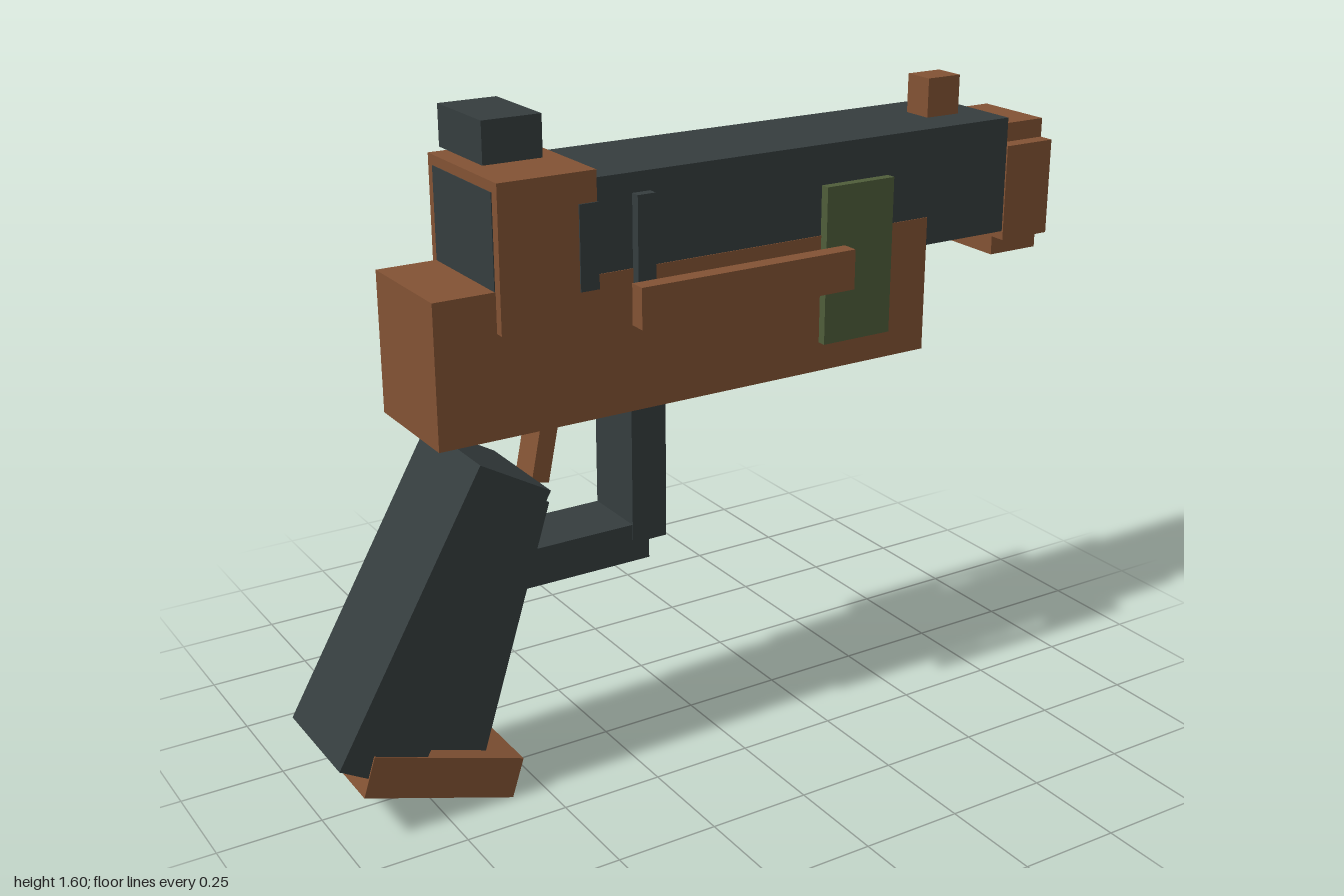
import * as THREE from 'three';

const flat = (name, color) => {
  const m = new THREE.MeshStandardMaterial({ color });
  m.name = name;
  return m;
};

export function createModel() {
  const model = new THREE.Group();
  model.name = 'blockyPistol';

  const steel = flat('darkSteel', 0x353d3e);
  const copper = flat('copperBrown', 0x835334);
  const green = flat('oliveGreen', 0x4f5d3a);

  // Box by centre, size and tilt in the side plane
  const tilted = (name, mat, x, y, w, h, d, degrees = 0, z = 0) => {
    const mesh = new THREE.Mesh(new THREE.BoxGeometry(w, h, d), mat);
    mesh.name = name;
    mesh.position.set(x, y, z);
    mesh.rotation.z = THREE.MathUtils.degToRad(degrees);
    model.add(mesh);
    return mesh;
  };
  // Upright box by its limits in x and y, and its range in z
  const block = (name, mat, x0, x1, y0, y1, z1, z0 = -z1) =>
    tilted(name, mat, (x0 + x1) / 2, (y0 + y1) / 2, x1 - x0, y1 - y0, z1 - z0, 0, (z0 + z1) / 2);

  // Body
  block('frame', copper, -0.727, 0.583, 0.905, 1.24, 0.146);
  block('slide', steel, -0.581, 0.825, 1.17, 1.456, 0.144);
  block('rearBlock', copper, -0.579, -0.342, 1.147, 1.48, 0.168);
  block('rearBlockInset', steel, -0.387, -0.341, 1.215, 1.41, 0.172);
  block('slideRib', steel, -0.241, -0.195, 1.2, 1.41, 0.168);
  block('sidePlate', green, 0.268, 0.46, 0.977, 1.36, 0.168);

  // Floating rails on both sides
  for (const side of [1, -1]) {
    const rail = block(side > 0 ? 'frontRail' : 'backRail', copper, -0.262, 0.315, 1.12, 1.217, 0.218, 0.176);
    rail.position.z *= side;
  }

  // Sights
  block('rearSight', steel, -0.579, -0.437, 1.505, 1.6, 0.106);
  block('frontSight', copper, 0.656, 0.752, 1.455, 1.552, 0.04);

  // Muzzle: a wide and a tall block crossing each other
  block('muzzleWide', copper, 0.827, 0.969, 1.147, 1.385, 0.146);
  block('muzzleTall', copper, 0.827, 0.97, 1.1, 1.432, 0.106);
  block('bore', steel, 0.95, 1.0, 1.193, 1.335, 0.062);

  // Trigger and guard
  tilted('trigger', copper, -0.4125, 0.831, 0.045, 0.2, 0.08, -11.5);
  block('guardFront', steel, -0.215, -0.123, 0.545, 0.91, 0.085);
  block('guardBottom', steel, -0.56, -0.17, 0.498, 0.592, 0.084);

  // Grip and magazine base
  tilted('gripBack', steel, -0.73, 0.48, 0.197, 0.748, 0.284, -29.8);
  tilted('gripFront', steel, -0.636, 0.435, 0.2, 0.64, 0.21, -17.4);
  tilted('gripBase', copper, -0.751, 0.111, 0.385, 0.1, 0.292, -18);

  return model;
}
